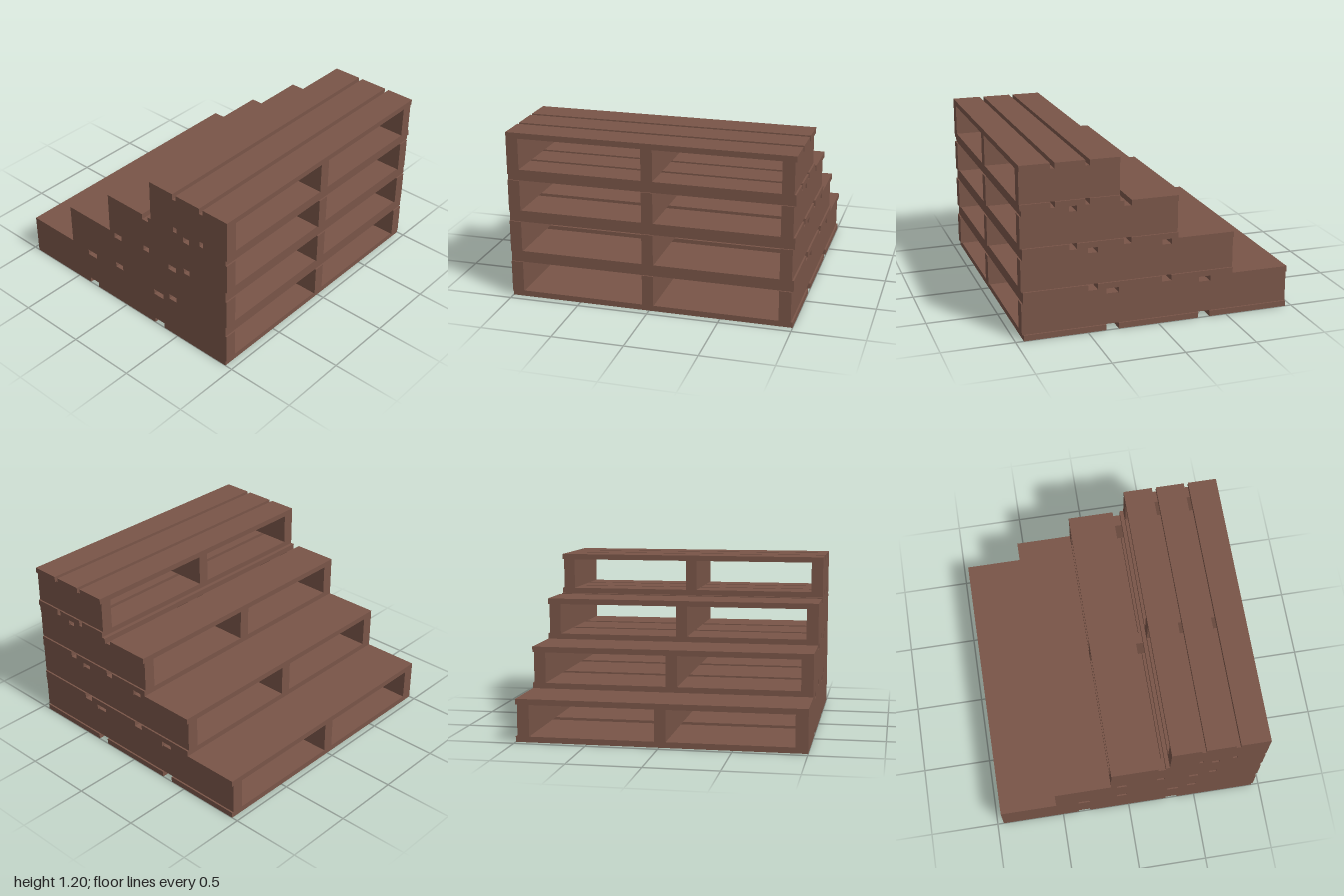
import * as THREE from 'three';

const FRONT = 0.954;        // shared front plane of all tiers
const TIER = 0.3;           // height of one pallet
const PLANK = 0.04;         // plank thickness

// Each tier: back end of the beams, then [front, back] of its three planks
const tiers = [
  { back: -0.954, planks: [[0.944, 0.371], [0.283, -0.294], [-0.379, -0.954]] },
  { back: -0.543, planks: [[0.944, 0.498], [0.43, -0.022], [-0.092, -0.543]] },
  { back: -0.136, planks: [[0.944, 0.624], [0.572, 0.248], [0.195, -0.136]] },
  { back: 0.275, planks: [[0.954, 0.748], [0.717, 0.512], [0.482, 0.275]] },
];

// Left and right faces of the three beams
const beams = [
  ['rightBeam', -1, -0.915],
  ['middleBeam', -0.046, 0.034],
  ['leftBeam', 0.905, 0.988],
];

export function createModel() {
  const model = new THREE.Group();
  model.name = 'steppedPallets';
  const wood = new THREE.MeshStandardMaterial({ color: 0x795548 });

  // Box given by its limits on each axis
  function board(parent, name, x0, x1, y0, y1, z0, z1) {
    const mesh = new THREE.Mesh(new THREE.BoxGeometry(x1 - x0, y1 - y0, z1 - z0), wood);
    mesh.position.set((x0 + x1) / 2, (y0 + y1) / 2, (z0 + z1) / 2);
    mesh.name = name;
    parent.add(mesh);
  }

  tiers.forEach(({ back, planks }, i) => {
    const pallet = new THREE.Group();
    pallet.name = `pallet${i + 1}`;
    pallet.position.y = i * TIER;

    // Upright beams running front to back
    for (const [name, x0, x1] of beams) {
      board(pallet, name, x0, x1, PLANK, TIER - PLANK, back, FRONT);
    }

    // Matching planks below and above the beams
    planks.forEach(([front, rear], j) => {
      board(pallet, `bottomPlank${j + 1}`, -1, 1, 0, PLANK, rear, front);
      board(pallet, `topPlank${j + 1}`, -1, 1, TIER - PLANK, TIER, rear, front);
    });
    model.add(pallet);
  });

  return model;
}
